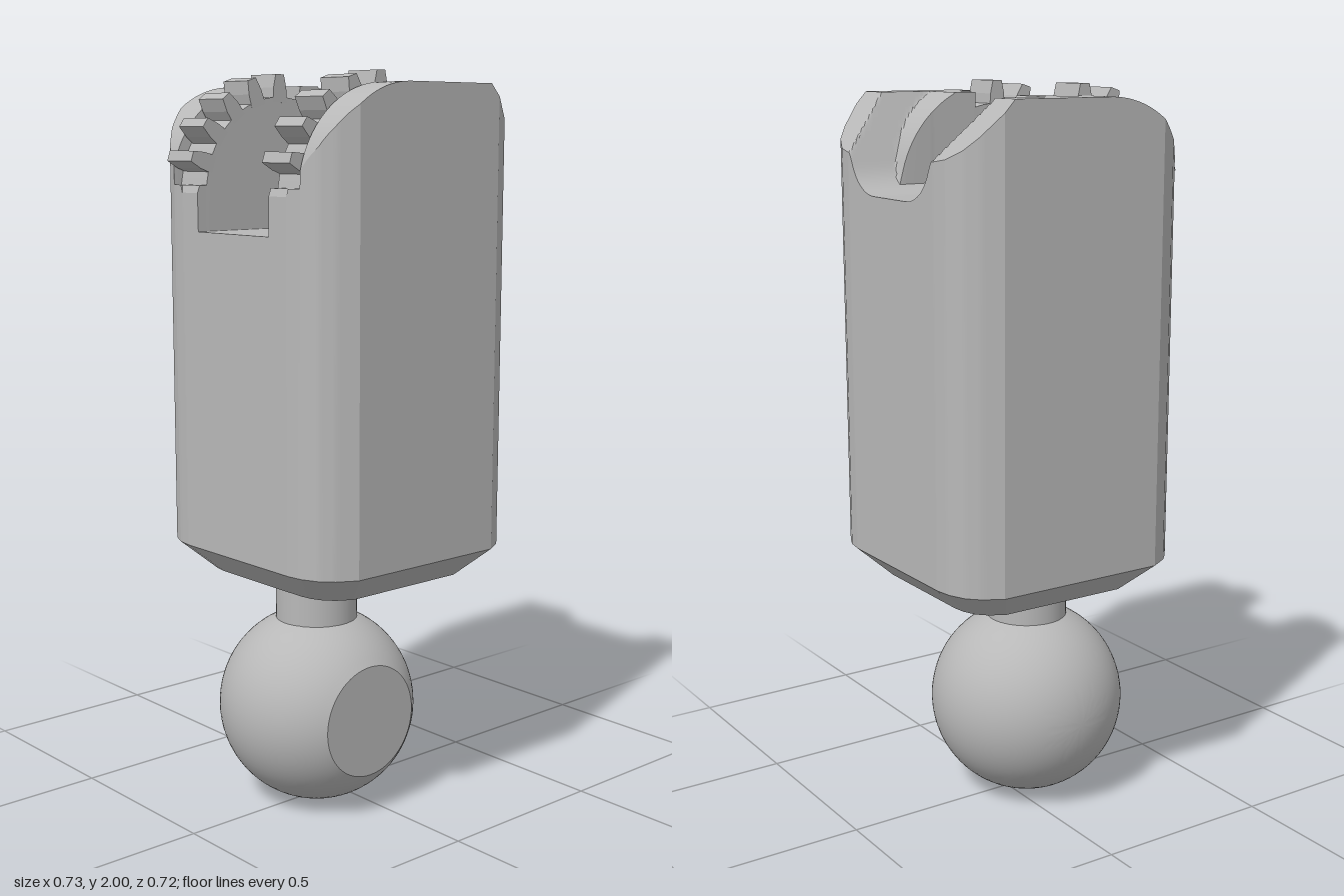
import * as THREE from 'three';
import { toCreasedNormals } from 'three/addons/utils/BufferGeometryUtils.js';

// Pivot axis of the toothed joint (runs along x)
const PY = 1.69, PZ = 0.065;
const SLOT = 0.147, TOOTH_END = 0.253, GROOVE_END = 0.26;

// Half outline of the body: front z for a given |x| (rounded corners)
const corner = [[0.215, 0.345], [0.26, 0.338], [0.305, 0.318], [0.335, 0.288], [0.365, 0.235]];
function frontZ(x) {
  const a = Math.abs(x);
  if (a <= corner[0][0]) return corner[0][1];
  for (let i = 1; i < corner.length; i++) {
    const [x0, z0] = corner[i - 1], [x1, z1] = corner[i];
    if (a <= x1 + 1e-6) return z0 + (z1 - z0) * (a - x0) / (x1 - x0);
  }
  return 0.235;
}
const backZ = (x) => -frontZ(x) - 0.015;

const arc = (r, z) => PY + Math.sqrt(Math.max(0, r * r - (z - PZ) ** 2));

// Rear U-shaped relief: flat floor, fillet, steep walls
function relief(a) {
  if (a < 0.08) return 1.715;
  if (a < 0.188) return 1.835 - Math.sqrt(0.0144 - (a - 0.08) ** 2);
  return 1.782 + (a - 0.188) * 2.09;
}

// Height of the top of the body at any (x, z)
function height(x, z) {
  const a = Math.abs(x);
  let h = 1.97;
  if (z > PZ) h = arc(0.28, z);                      // rounded front
  else if (z < -0.22) h = 1.97 - (-0.22 - z) * 1.07; // rear chamfer
  if (a < SLOT) {
    if (z < -0.1425) return Math.min(h, relief(a));
    const t = Math.max(0, -0.073 - z);               // slot floor with rear fillet
    return 1.66 - Math.sqrt(Math.max(0, 0.0049 - t * t));
  }
  if (a < GROOVE_END && z > -0.005) return Math.min(h, Math.max(1.71, arc(0.25, z)));
  if (a < 0.278 && z < -0.07) return Math.min(h, Math.max(relief(a), arc(0.309, z)));
  return h;
}

// Grid lines through the given breaks, subdivided to at most one step
function gridLines(breaks, step) {
  const out = [breaks[0]];
  for (let i = 1; i < breaks.length; i++) {
    const n = Math.ceil((breaks[i] - breaks[i - 1]) / step - 1e-6);
    for (let k = 1; k <= n; k++) out.push(breaks[i - 1] + (breaks[i] - breaks[i - 1]) * k / n);
  }
  return out;
}

function creased(positions, angle) {
  const g = new THREE.BufferGeometry();
  g.setAttribute('position', new THREE.Float32BufferAttribute(positions, 3));
  return toCreasedNormals(g, angle);
}

function bodyGeometries() {
  const half = gridLines([0, 0.08, 0.1465, 0.1475, 0.188, 0.215, 0.2595, 0.2605, 0.278, 0.305, 0.335, 0.365], 0.008);
  const xs = [...half.slice(1).reverse().map((v) => -v), ...half];
  const zs = gridLines([-0.36, -0.25, -0.2435, -0.22, -0.143, -0.142, -0.073, -0.07, -0.0055, -0.0045,
    PZ, 0.235, 0.3, 0.315, 0.345], 0.008);
  const grid = xs.map((x) => zs.map((zz) => {
    const z = Math.min(frontZ(x), Math.max(backZ(x), zz));
    return [x, height(x, z), z];
  }));

  // Top surface
  const top = [];
  const area = (a, b, c) => Math.abs((b[0] - a[0]) * (c[2] - a[2]) - (b[2] - a[2]) * (c[0] - a[0]));
  const addTop = (a, b, c) => { if (area(a, b, c) > 1e-10) top.push(...a, ...b, ...c); };
  for (let i = 0; i + 1 < xs.length; i++) {
    for (let j = 0; j + 1 < zs.length; j++) {
      const a = grid[i][j], b = grid[i][j + 1], c = grid[i + 1][j + 1], d = grid[i + 1][j];
      addTop(a, b, c);
      addTop(a, c, d);
    }
  }

  // Perimeter, then side walls, bottom chamfer and base
  const last = zs.length - 1;
  const loop = [
    ...grid.map((col) => col[last]),
    ...[...grid[xs.length - 1]].reverse(),
    ...[...grid].reverse().map((col) => col[0]),
    ...grid[0],
  ];
  const rim = loop.filter((p, i) => {
    const q = loop[(i + 1) % loop.length];
    return Math.hypot(p[0] - q[0], p[2] - q[2]) > 1e-6;
  });
  const shoulder = rim.map((p) => [p[0], 0.73, p[2]]);
  const foot = rim.map((p) => [p[0] * 0.767, 0.65, (p[2] + 0.0075) * 0.76 - 0.0075]);
  const sides = [];
  const band = (up, low) => up.forEach((p, i) => {
    const k = (i + 1) % up.length;
    sides.push(...low[i], ...low[k], ...up[k], ...low[i], ...up[k], ...p);
  });
  band(rim, shoulder);
  band(shoulder, foot);
  foot.forEach((p, i) => sides.push(0, 0.65, -0.0075, ...foot[(i + 1) % foot.length], ...p));
  return { top: creased(top, 0.5), sides: creased(sides, 0.5) };
}

export function createModel() {
  const grey = new THREE.MeshStandardMaterial({ color: 0xb8b8b8 });
  grey.name = 'grey';
  const model = new THREE.Group();
  model.name = 'ballJointLink';
  const add = (name, geometry, parent = model) => {
    const mesh = new THREE.Mesh(geometry, grey);
    mesh.name = name;
    parent.add(mesh);
    return mesh;
  };

  // Body
  const body = bodyGeometries();
  add('bodyTop', body.top);
  add('bodySides', body.sides);

  // Gear teeth on both cheeks
  const profile = new THREE.Shape([[-0.024, 0.235], [0.024, 0.235], [0.022, 0.275], [0.014, 0.31],
    [-0.014, 0.31], [-0.022, 0.275]].map(([u, v]) => new THREE.Vector2(u, v)));
  const toothGeometry = new THREE.ExtrudeGeometry(profile, { depth: TOOTH_END - SLOT, bevelEnabled: false });
  toothGeometry.rotateY(Math.PI / 2);
  for (const [name, x] of [['leftTeeth', SLOT], ['rightTeeth', -TOOTH_END]]) {
    const teeth = new THREE.Group();
    teeth.name = name;
    teeth.position.set(x, PY, PZ);
    for (let i = 0; i < 5; i++) add('tooth', toothGeometry, teeth).rotation.x = i * Math.PI / 10;
    model.add(teeth);
  }

  // Neck
  add('neck', new THREE.CylinderGeometry(0.113, 0.113, 0.16, 48, 1, true)).position.set(0, 0.575, PZ);

  // Ball with a flat on its left side
  const R = 0.273, FLAT = 0.225, end = Math.asin(FLAT / R);
  const points = [];
  for (let i = 0; i <= 32; i++) {
    const t = -Math.PI / 2 + (end + Math.PI / 2) * i / 32;
    points.push(new THREE.Vector2(Math.max(0, R * Math.cos(t)), R * Math.sin(t)));
  }
  points.push(new THREE.Vector2(0, FLAT));
  const ball = toCreasedNormals(new THREE.LatheGeometry(points, 64), 0.5);
  ball.rotateZ(-Math.PI / 2);
  add('ball', ball).position.set(0, R, PZ);

  return model;
}
